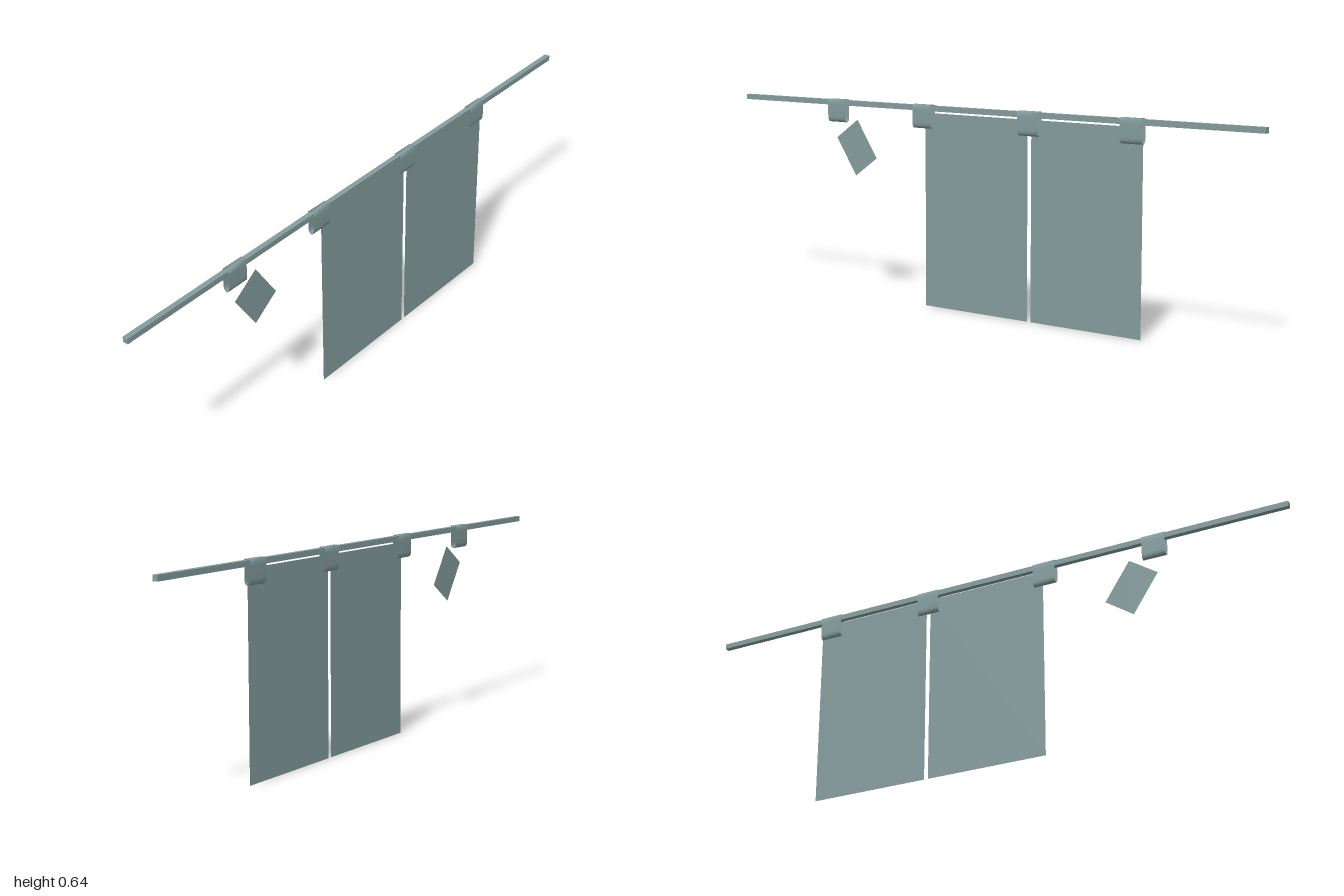
import * as THREE from 'three';

export function createModel() {
  const group = new THREE.Group();
  const slate = new THREE.MeshStandardMaterial({ color: 0x849c9d, side: THREE.DoubleSide });
  slate.name = 'slate grey';

  const add = (name, geometry, x, y, turn = 0) => {
    const mesh = new THREE.Mesh(geometry, slate);
    mesh.name = name;
    mesh.position.set(x, y, 0);
    mesh.rotation.z = turn;
    group.add(mesh);
  };

  // Square rod
  add('rod', new THREE.BoxGeometry(2, 0.017, 0.017), 0, 0.628);

  // Hanging sheets, single surfaces
  add('rightSheet', new THREE.PlaneGeometry(0.401, 0.613), -0.003, 0.3065);
  add('leftSheet', new THREE.PlaneGeometry(0.396, 0.613), 0.409, 0.3065);

  // Loose scrap, tilted
  add('scrap', new THREE.PlaneGeometry(0.11, 0.146), -0.4975, 0.484, 0.6);

  // Open-ended strap wrapped over the rod, rounded at the bottom
  const half = [[0, 0.639], [0.01, 0.6385], [0.0102, 0.62], [0.0102, 0.582], [0.009, 0.573], [0.006, 0.567], [0, 0.564]];
  const loop = [...half, ...half.slice(1, -1).reverse().map(([z, y]) => [-z, y]), half[0]];
  const strapWidth = 0.075;
  const strap = new THREE.PlaneGeometry(strapWidth, 1, 1, loop.length - 1);
  const pos = strap.attributes.position;
  for (let i = 0; i < pos.count; i++) {
    const [z, y] = loop[Math.floor(i / 2)];
    pos.setXYZ(i, pos.getX(i), y, z);
  }
  strap.computeVertexNormals();
  [-0.577, -0.211, 0.203, 0.57].forEach((x, i) => add('strap' + (i + 1), strap, x, 0));

  return group;
}
